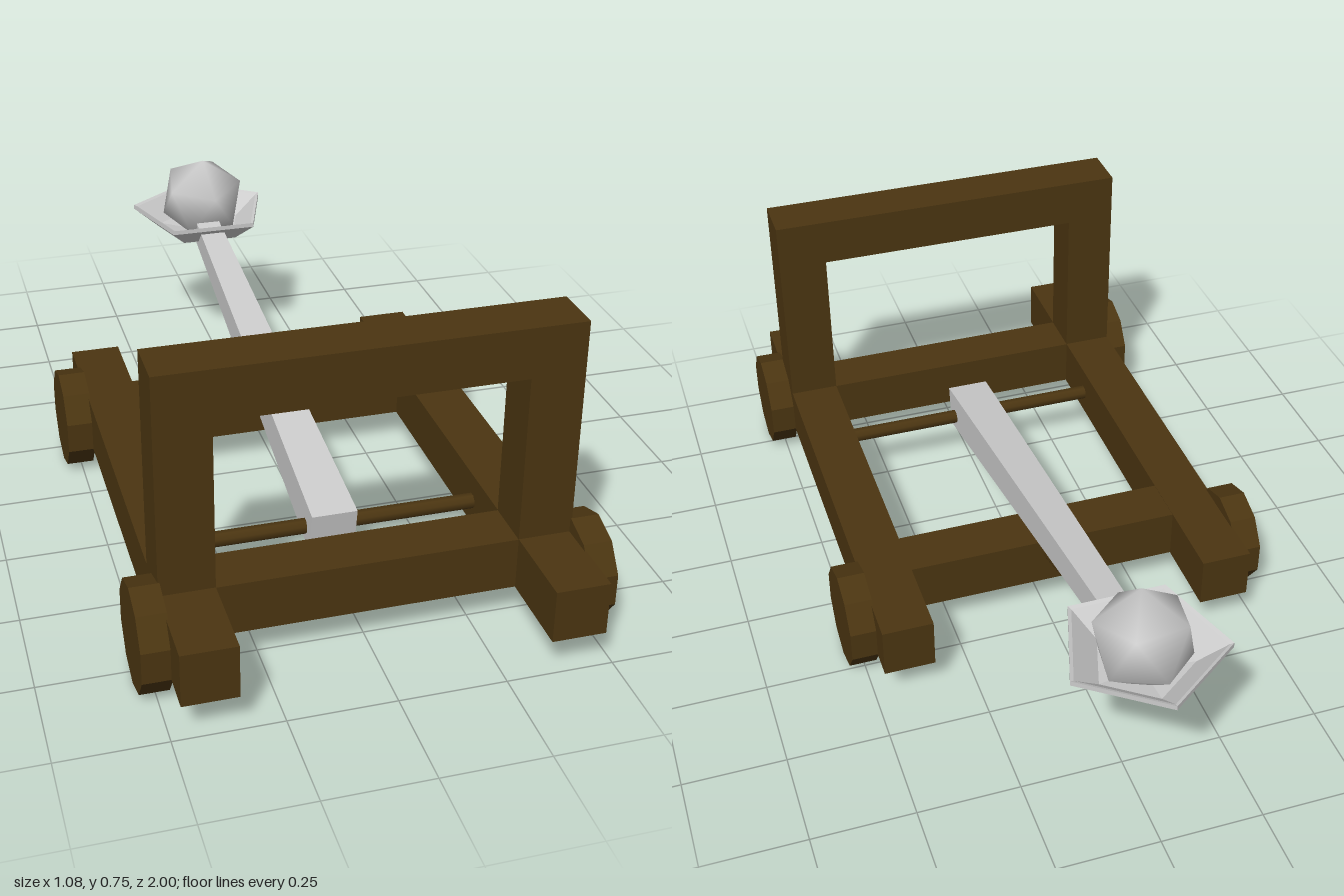
import * as THREE from 'three';
import { mergeVertices } from 'three/addons/utils/BufferGeometryUtils.js';

export function createModel() {
  const model = new THREE.Group();
  model.name = 'catapult';
  const wood = new THREE.MeshStandardMaterial({ color: 0x4b3511 });
  const woodFlat = new THREE.MeshStandardMaterial({ color: 0x4b3511, flatShading: true });
  const grey = new THREE.MeshStandardMaterial({ color: 0xcccccc });
  const greyFlat = new THREE.MeshStandardMaterial({ color: 0xcccccc, flatShading: true, side: THREE.DoubleSide });

  const add = (name, geometry, material) => {
    const mesh = new THREE.Mesh(geometry, material);
    mesh.name = name;
    model.add(mesh);
    return mesh;
  };
  // Box given by its minimum and maximum corners
  const box = (name, x0, x1, y0, y1, z0, z1) =>
    add(name, new THREE.BoxGeometry(x1 - x0, y1 - y0, z1 - z0), wood)
      .position.set((x0 + x1) / 2, (y0 + y1) / 2, (z0 + z1) / 2);
  // Tapered bar between two points, one flat side facing up
  const bar = (name, from, to, r0, r1, sides, material) => {
    const a = new THREE.Vector3(...from), b = new THREE.Vector3(...to);
    const dir = b.clone().sub(a);
    const geometry = new THREE.CylinderGeometry(r1, r0, dir.length(), sides);
    geometry.rotateY(Math.PI / sides);
    const mesh = add(name, geometry, material);
    mesh.position.copy(a).add(b).multiplyScalar(0.5);
    mesh.quaternion.setFromUnitVectors(new THREE.Vector3(0, 1, 0), dir.normalize());
  };

  // Side rails, posts and wheels
  for (const s of [1, -1]) {
    const side = s > 0 ? 'left' : 'right';
    const x0 = s > 0 ? 0.35 : -0.477, x1 = x0 + 0.127;
    box(side + 'Rail', x0, x1, 0.08, 0.21, -0.38, 1);
    box(side + 'Post', x0, x1, 0.2, 0.63, 0.662, 0.788);
    for (const [end, z] of [['Front', 0.79], ['Back', -0.19]]) {
      const geometry = new THREE.CylinderGeometry(0.126, 0.126, 0.068, 10);
      geometry.rotateZ(Math.PI / 2);
      geometry.rotateX(Math.PI / 2); // flat side on the ground
      add(side + end + 'Wheel', geometry, woodFlat).position.set(s * 0.507, 0.12, z);
    }
  }

  // Cross beams and the rod the arm turns on
  box('topBeam', -0.477, 0.477, 0.62, 0.742, 0.662, 0.788);
  box('frontBeam', -0.36, 0.36, 0.081, 0.209, 0.662, 0.788);
  box('backBeam', -0.36, 0.36, 0.081, 0.209, -0.175, -0.048);
  bar('pivotRod', [-0.36, 0.14, 0.507], [0.36, 0.14, 0.507], 0.019, 0.019, 8, wood);

  // Throwing arm and its supporting strut
  const cx = -0.014;
  bar('arm', [cx, 0.145, 0.556], [cx, 0.373, -0.72], 0.078, 0.047, 4, greyFlat);
  bar('strut', [cx, 0.145, -0.11], [cx, 0.36, -0.74], 0.018, 0.018, 6, wood);

  // Five-sided open bowl, one corner pointing back
  const profile = [[0, 0.335], [0.13, 0.357], [0.2, 0.41], [0.2, 0.422], [0.19, 0.418], [0.12, 0.366], [0, 0.346]];
  const bowl = add('bowl', new THREE.LatheGeometry(profile.map(p => new THREE.Vector2(...p)), 5), greyFlat);
  bowl.position.set(cx, 0, -0.8);
  bowl.rotation.y = Math.PI;

  // Stone: a smooth-shaded icosahedron standing on one corner
  let stone = new THREE.IcosahedronGeometry(0.125, 0);
  stone.deleteAttribute('normal');
  stone.deleteAttribute('uv');
  stone = mergeVertices(stone);
  stone.rotateZ(Math.atan(2 / (1 + Math.sqrt(5))));
  stone.computeVertexNormals();
  const ball = add('stone', stone, grey);
  ball.position.set(-0.01, 0.448, -0.81);
  ball.rotation.set(0.2, 0.45, 0);

  return model;
}
